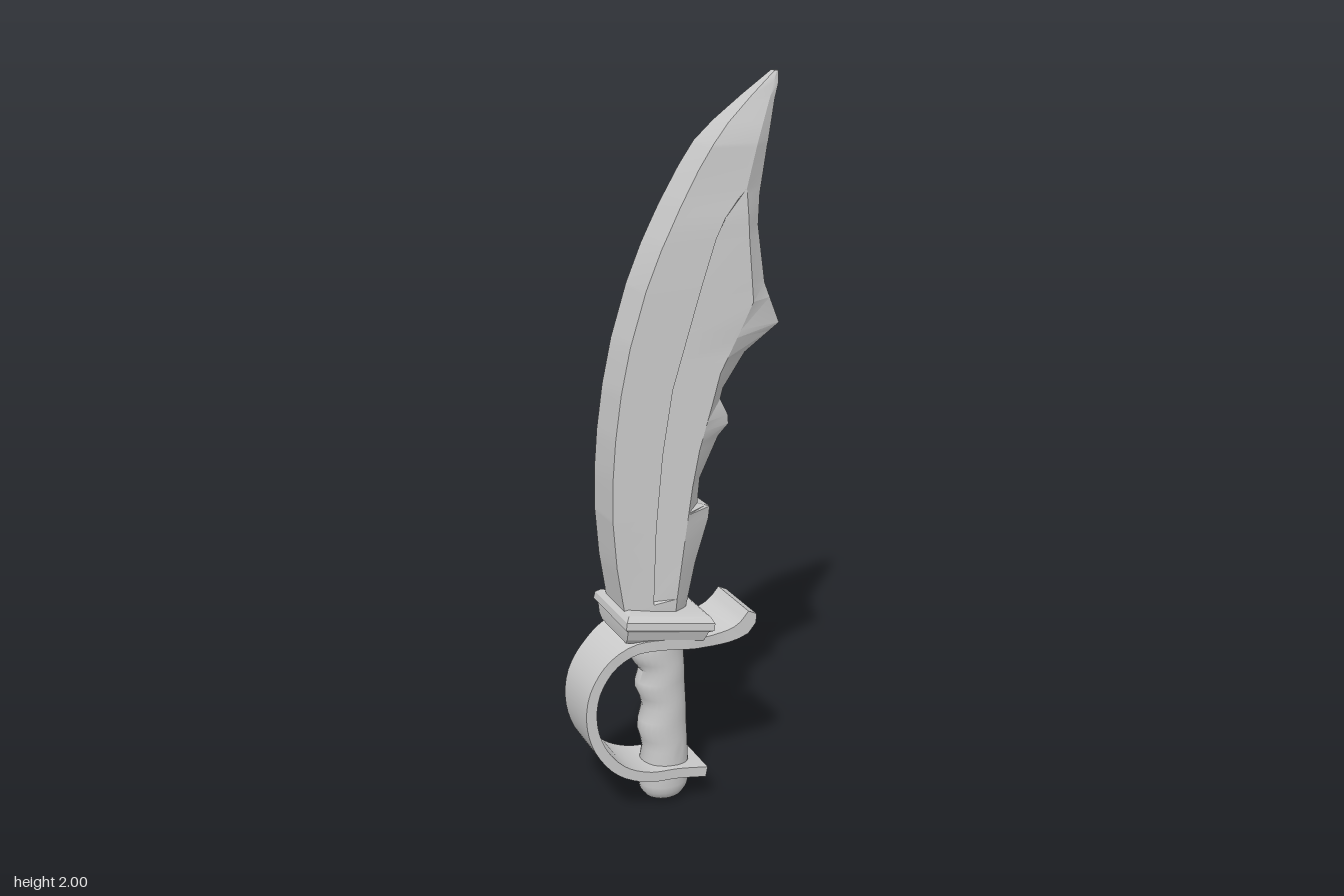
import * as THREE from 'three';
import { toCreasedNormals } from 'three/addons/utils/BufferGeometryUtils.js';

const material = new THREE.MeshStandardMaterial({ color: 0xcccccc });

// Skin a stack of equal-length rings and close both ends
function loft(name, rings, crease = 0.5) {
  const n = rings[0].length;
  const pos = [], idx = [];
  rings.forEach(r => r.forEach(p => pos.push(...p)));
  for (let i = 0; i < rings.length - 1; i++) {
    for (let j = 0; j < n; j++) {
      const a = i * n + j, b = i * n + (j + 1) % n;
      idx.push(a, b, b + n, a, b + n, a + n);
    }
  }
  for (const end of [0, rings.length - 1]) {
    const c = [0, 1, 2].map(k => rings[end].reduce((s, p) => s + p[k], 0) / n);
    const ci = pos.length / 3;
    pos.push(...c);
    for (let j = 0; j < n; j++) {
      const a = end * n + j, b = end * n + (j + 1) % n;
      if (end) idx.push(ci, a, b); else idx.push(ci, b, a);
    }
  }
  const g = new THREE.BufferGeometry();
  g.setAttribute('position', new THREE.Float32BufferAttribute(pos, 3));
  g.setIndex(idx);
  const mesh = new THREE.Mesh(toCreasedNormals(g, crease), material);
  mesh.name = name;
  return mesh;
}

// Linear lookup in a list of [y, value] pairs
function at(table, y) {
  if (y <= table[0][0]) return table[0][1];
  for (let i = 1; i < table.length; i++) {
    const [y0, v0] = table[i - 1], [y1, v1] = table[i];
    if (y <= y1) return v0 + (v1 - v0) * (y - y0) / (y1 - y0);
  }
  return table[table.length - 1][1];
}

function makeBlade() {
  // x of each long line of the blade, by height
  const spine = [[0.56, -0.165], [0.62, -0.17], [0.75, -0.19], [0.88, -0.2], [1, -0.198], [1.1, -0.19],
    [1.22, -0.173], [1.34, -0.147], [1.48, -0.103], [1.58, -0.061], [1.68, -0.01], [1.77, 0.042],
    [1.83, 0.083], [1.88, 0.13], [1.94, 0.2], [2, 0.275]];
  const groove = [[0.56, -0.09], [0.64, -0.09], [0.85, -0.082], [1.05, -0.063], [1.22, -0.035],
    [1.36, 0.008], [1.48, 0.045], [1.6, 0.085], [1.65, 0.11], [1.72, 0.168], [1.83, 0.2], [2, 0.279]];
  const ridge = [[0.56, -0.03], [0.64, -0.022], [0.8, 0], [0.95, 0.022], [1.05, 0.042], [1.17, 0.078],
    [1.25, 0.1], [1.36, 0.158], [1.43, 0.193], [1.6, 0.178], [1.72, 0.172], [1.83, 0.205], [2, 0.281]];
  const edge = [[0.56, 0.015], [0.72, 0.05], [0.84, 0.088], [0.875, 0.092], [0.89, 0.055], [0.96, 0.062],
    [1.07, 0.115], [1.1, 0.145], [1.125, 0.143], [1.17, 0.12], [1.2, 0.128], [1.29, 0.19], [1.36, 0.29],
    [1.47, 0.245], [1.62, 0.223], [1.7, 0.226], [1.82, 0.245], [1.93, 0.271], [1.97, 0.284], [2, 0.285]];
  // Half thicknesses and depth of the sunken panel
  const body = [[1.64, 0.075], [1.83, 0.06], [2, 0.012]];
  const back = [[1.64, 0.065], [1.83, 0.058], [2, 0.011]];
  const rim = [[1.83, 0.035], [2, 0.01]];
  const sink = [[0.635, 0], [0.64, 0.01], [1.6, 0.01], [1.72, 0]];
  const ys = [...new Set([spine, groove, ridge, edge, sink].flat().map(p => p[0]))].sort((a, b) => a - b);
  return loft('blade', ys.map(y => {
    const t = at(body, y);
    const side = [[at(edge, y), at(rim, y)], [at(ridge, y), t], [at(groove, y) + 0.004, t - at(sink, y)],
      [at(groove, y), t], [at(spine, y), at(back, y)]];
    side[2][0] = Math.min(side[2][0], side[1][0]);
    return [...side.map(([x, z]) => [x, y, -z]), ...side.reverse().map(([x, z]) => [x, y, z])];
  }), 0.45);
}

// Bevelled block, tilted across the foot of the blade
function makeCollar() {
  const rows = [[-0.045, 0.11, 0.085], [-0.03, 0.115, 0.1], [-0.004, 0.12, 0.108], [0.004, 0.131, 0.118],
    [0.024, 0.131, 0.115], [0.037, 0.122, 0.1], [0.042, 0.11, 0.08]];
  const mesh = loft('collar', rows.map(([y, x, z]) => [[x, y, z], [x, y, -z], [-x, y, -z], [-x, y, z]]), 0.3);
  mesh.position.set(-0.06, 0.568, 0);
  mesh.rotation.z = -0.19;
  return mesh;
}

// Broad flat strap: crossguard, knuckle bow and lower end in one sweep
function makeHandGuard() {
  const path = new THREE.CatmullRomCurve3([[0.197, 0.568], [0.18, 0.533], [0.13, 0.51], [0.04, 0.508],
    [-0.06, 0.523], [-0.15, 0.525], [-0.215, 0.485], [-0.265, 0.41], [-0.275, 0.32], [-0.25, 0.235],
    [-0.19, 0.16], [-0.11, 0.122], [-0.02, 0.112], [0.068, 0.096]].map(([x, y]) => new THREE.Vector3(x, y, 0)));
  const thick = [[0, 0.014], [0.03, 0.025], [0.08, 0.019], [0.16, 0.015], [1, 0.015]];
  const width = [[0, 0.094], [0.05, 0.094], [0.11, 0.09], [0.2, 0.1], [0.33, 0.1], [0.42, 0.083], [1, 0.08]];
  const rings = [];
  for (let i = 0; i <= 44; i++) {
    const u = i / 44, p = path.getPointAt(u), d = path.getTangentAt(u);
    const h = at(thick, u), w = at(width, u);
    rings.push([[1, 1], [1, -1], [-1, -1], [-1, 1]].map(([s, z]) => [p.x + s * h * d.y, p.y - s * h * d.x, z * w]));
  }
  return loft('handGuard', rings, 0.6);
}

// Oval ring between a left and a right x
function oval(y, left, right, rz, n = 24) {
  return Array.from({ length: n }, (_, j) => {
    const a = j / n * Math.PI * 2;
    return [(left + right) / 2 + Math.cos(a) * (right - left) / 2, y, -Math.sin(a) * rz];
  });
}

// Grip with finger grooves on the bow side
function makeGrip() {
  const left = [[0.09, -0.095], [0.13, -0.1], [0.17, -0.092], [0.2, -0.098], [0.23, -0.107], [0.26, -0.104],
    [0.3, -0.092], [0.33, -0.1], [0.36, -0.113], [0.38, -0.112], [0.415, -0.1], [0.44, -0.118],
    [0.465, -0.132], [0.49, -0.13], [0.54, -0.12]];
  return loft('grip', left.map(([y, x]) => oval(y, x, 0.042 - 0.04 * (y - 0.09), 0.061)), 0.9);
}

function makePommel() {
  const rows = [[0, 0.012, 0.01], [0.012, 0.042, 0.036], [0.02, 0.055, 0.046], [0.04, 0.069, 0.057],
    [0.06, 0.073, 0.061], [0.12, 0.073, 0.061]];
  return loft('pommel', rows.map(([y, rx, rz]) => oval(y, -0.031 - rx, -0.031 + rx, rz)), 0.6);
}

export function createModel() {
  const group = new THREE.Group();
  group.name = 'curvedSword';
  group.add(makeBlade(), makeCollar(), makeHandGuard(), makeGrip(), makePommel());
  return group;
}
